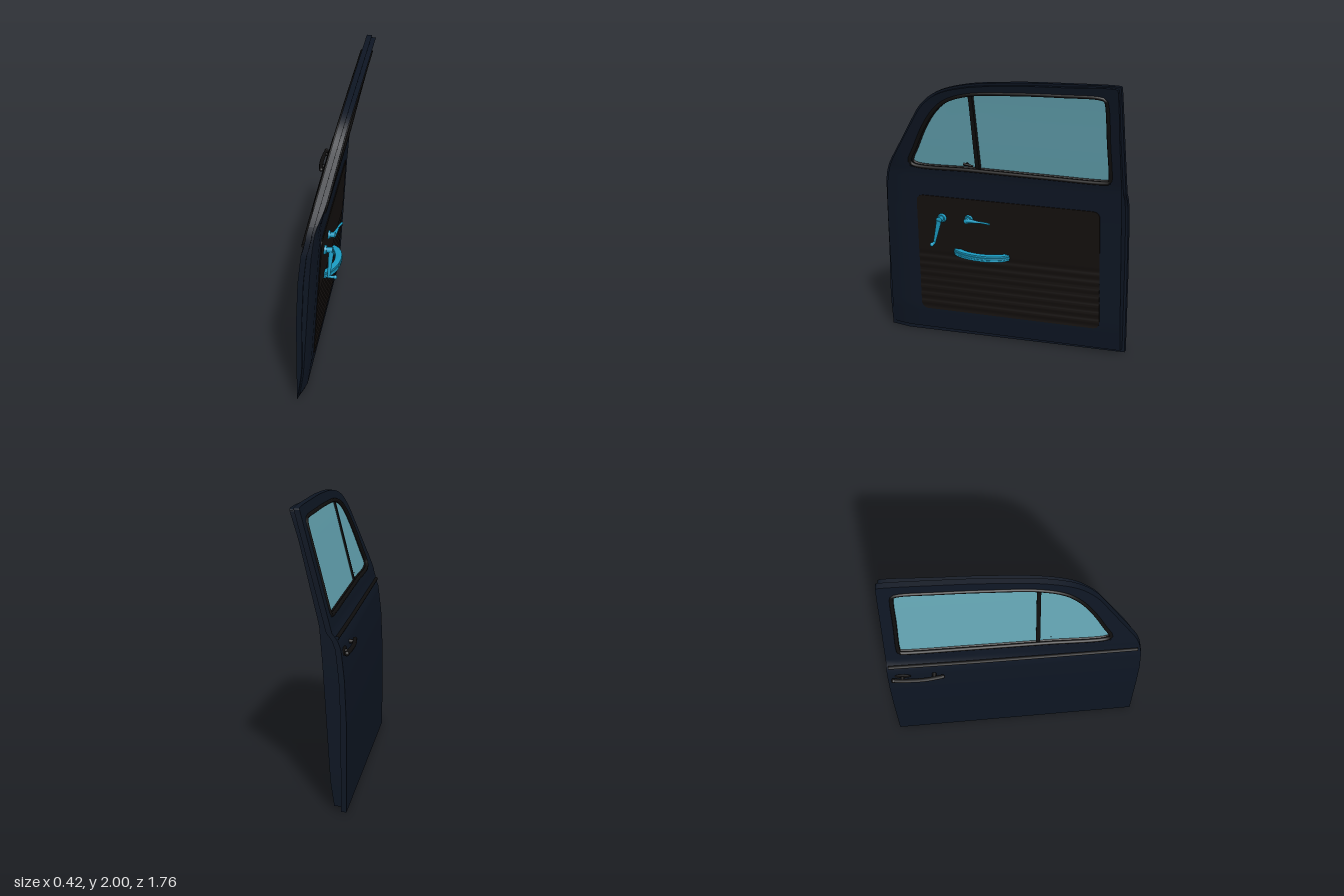
import * as THREE from 'three';
import { toCreasedNormals } from 'three/addons/utils/BufferGeometryUtils.js';

const mat = (color) => new THREE.MeshStandardMaterial({ color, side: THREE.DoubleSide });
const paint = mat(0x0d1522), rubber = mat(0x0e0d0d), card = mat(0x130f0d);
const glassMat = mat(0x62a2b0), blue = mat(0x1a9ac0);
const V = (x, y, z) => new THREE.Vector3(x, y, z);
const { lerp, smoothstep } = THREE.MathUtils;

// Piecewise linear lookup in a list of [key, value] pairs
function table(list) {
  return (t) => {
    let i = 1;
    while (i < list.length - 1 && t > list[i][0]) i++;
    const [a, b] = [list[i - 1], list[i]];
    return lerp(a[1], b[1], THREE.MathUtils.clamp((t - a[0]) / (b[0] - a[0]), 0, 1));
  };
}

// Bent door surfaces: x for a given height y and depth z
const outerY = table([[0, -0.2], [0.6, -0.2], [0.9, -0.187], [1.1, -0.165], [1.17, -0.14], [1.2, -0.108], [1.25, -0.095], [2, 0.1]]);
const outerSlope = table([[0, 0.08], [1.15, 0.08], [1.22, 0.06], [2, 0.06]]);
const innerY = table([[0, -0.03], [0.2, 0], [1, 0.05], [1.25, 0.07], [1.5, 0.13], [1.8, 0.2], [2, 0.26]]);
const xOut = (y, z) => outerY(y) + outerSlope(y) * (z + 0.88);
const xIn = (y, z) => innerY(y) + 0.06 * (z - 0.6) - 0.035 * smoothstep(z, 0.72, 0.89);
const xMid = (y, z) => Math.min(xOut(y, z) + 0.038, xIn(y, z) - 0.01);
const xGlass = (y, z) => lerp(xOut(y, z), xIn(y, z), 0.3);
const shift = (f, d) => (y, z) => f(y, z) + d;

// Slab between two bent surfaces; P(u, v) gives [z, y], u front to back, v upward
function loft(P, nu, nv, xa, xb) {
  const pos = [], idx = [], rim = [];
  for (const side of [xb, xa])
    for (let i = 0; i <= nu; i++)
      for (let j = 0; j <= nv; j++) {
        const [z, y] = P(i / nu, j / nv);
        pos.push(side(y, z), y, z);
      }
  const n = (nu + 1) * (nv + 1), id = (i, j) => i * (nv + 1) + j;
  for (let i = 0; i < nu; i++)
    for (let j = 0; j < nv; j++) {
      const a = id(i, j), b = id(i + 1, j), c = id(i + 1, j + 1), d = id(i, j + 1);
      idx.push(a, b, c, a, c, d, n + a, n + c, n + b, n + a, n + d, n + c);
    }
  for (let i = 0; i < nu; i++) rim.push(id(i, 0));
  for (let j = 0; j < nv; j++) rim.push(id(nu, j));
  for (let i = nu; i > 0; i--) rim.push(id(i, nv));
  for (let j = nv; j > 0; j--) rim.push(id(0, j));
  rim.forEach((p, k) => {
    const q = rim[(k + 1) % rim.length];
    idx.push(n + p, n + q, q, n + p, q, p);
  });
  const g = new THREE.BufferGeometry();
  g.setAttribute('position', new THREE.Float32BufferAttribute(pos, 3));
  g.setIndex(idx);
  return toCreasedNormals(g, 0.6);
}

// Window opening and matching door edge, front to back over the arch, as [z, y]
const windowPts = [[0.65, 1.29], [0.65, 1.33], [0.6, 1.44], [0.52, 1.6], [0.43, 1.73], [0.33, 1.815], [0.16, 1.872],
  [-0.2, 1.903], [-0.5, 1.914], [-0.74, 1.918], [-0.782, 1.905], [-0.79, 1.87], [-0.79, 1.6], [-0.79, 1.29]];
const edgePts = [[0.825, 1.29], [0.8, 1.335], [0.72, 1.465], [0.62, 1.63], [0.53, 1.765], [0.41, 1.865], [0.2, 1.935],
  [-0.18, 1.978], [-0.5, 1.993], [-0.86, 2], [-0.88, 1.995], [-0.882, 1.97], [-0.882, 1.6], [-0.882, 1.29]];
const curve = (pts, closed) => new THREE.CatmullRomCurve3(pts.map(([z, y]) => V(0, y, z)), closed);
const windowCurve = curve(windowPts), edgeCurve = curve(edgePts);
const frontEdge = table([[0, 0.882], [0.9, 0.88], [1.1, 0.872], [1.2, 0.856], [1.25, 0.842], [1.29, 0.825]]);
const windowTop = table(windowPts.slice(1, 11).reverse());

const lowerPatch = (inset, bottom) => (u, v) => {
  const y = lerp(bottom, 1.29, v);
  return [lerp(frontEdge(y) - inset, -0.882 + inset, u), y];
};
const framePatch = (inset) => (u, v) => {
  const a = windowCurve.getPoint(u), b = edgeCurve.getPoint(u);
  const p = a.clone().lerp(b, v * (1 - inset / a.distanceTo(b)));
  return [p.z, p.y];
};

export function createModel() {
  const root = new THREE.Group();
  const add = (name, geo, material, parent = root) => {
    const m = new THREE.Mesh(geo, material);
    m.name = name;
    parent.add(m);
    return m;
  };
  const group = (name) => {
    const g = new THREE.Group();
    g.name = name;
    root.add(g);
    return g;
  };
  const tube = (pts, r, closed = false, n = 64) =>
    new THREE.TubeGeometry(new THREE.CatmullRomCurve3(pts, closed), n, r, 8, closed);
  // Tapered round rod between two points
  const rod = (a, b, r1, r2) => {
    const d = b.clone().sub(a);
    const g = new THREE.CylinderGeometry(r2, r1, d.length(), 16);
    g.applyQuaternion(new THREE.Quaternion().setFromUnitVectors(V(0, 1, 0), d.normalize()));
    const c = a.clone().add(b).multiplyScalar(0.5);
    return g.translate(c.x, c.y, c.z);
  };
  const ball = (p, r, sx = 1, sy = 1, sz = 1) =>
    new THREE.SphereGeometry(r, 20, 12).scale(sx, sy, sz).translate(p.x, p.y, p.z);

  // Door shell: full outer skin with a slightly smaller inner pressing
  add('outerSkin', loft(lowerPatch(0, 0), 24, 48, xOut, xMid), paint);
  add('outerWindowFrame', loft(framePatch(0), 90, 4, xOut, xMid), paint);
  add('innerShell', loft(lowerPatch(0.018, 0.03), 24, 48, xMid, xIn), paint);
  add('innerWindowFrame', loft(framePatch(0.018), 90, 4, xMid, xIn), paint);

  // Glass, divider bar and rubber seals
  add('windowGlass', loft((u, v) => {
    const z = lerp(0.649, -0.788, u);
    return [z, lerp(1.28, windowTop(z), v)];
  }, 70, 8, shift(xGlass, -0.003), shift(xGlass, 0.003)), glassMat);
  add('ventDivider', loft((u, v) => [lerp(0.17, 0.142, u), lerp(1.28, 1.876, v)], 1, 8,
    shift(xGlass, -0.014), shift(xIn, -0.012)), rubber);
  const sealPath = [...windowPts.slice(1, 13), [-0.79, 1.33], [-0.783, 1.302], [-0.755, 1.295], [-0.3, 1.295], [0.2, 1.3], [0.625, 1.305]];
  for (const [name, f] of [['innerWindowSeal', shift(xIn, -0.004)], ['glassSeal', xGlass], ['outerWindowSeal', shift(xOut, 0.003)]])
    add(name, tube(sealPath.map(([z, y]) => V(f(y, z), y, z)), 0.014, true, 140), rubber);
  const belt = [];
  for (let i = 0; i <= 12; i++) {
    const z = lerp(-0.87, 0.845, i / 12), y = 1.175 - 0.015 * i / 12;
    belt.push(V(xOut(y, z) - 0.002, y, z));
  }
  add('beltMoulding', tube(belt, 0.013), rubber);

  // Vent window catch
  const vent = group('ventCatch');
  const vx = xIn(1.33, 0.22);
  add('catchPost', rod(V(vx - 0.05, 1.33, 0.24), V(vx, 1.34, 0.24), 0.012, 0.01), rubber, vent);
  add('catchLever', rod(V(vx, 1.345, 0.25), V(vx, 1.335, 0.18), 0.01, 0.006), rubber, vent);

  // Trim panel with rounded corners and horizontal ribs in the lower half
  add('trimPanel', loft((u, v) => {
    const t = 0.5 - 0.5 * Math.cos(v * Math.PI), y = lerp(0.19, 1.08, lerp(t, v, 0.6));
    const d = Math.max(0, 0.045 - Math.min(y - 0.19, 1.08 - y));
    const r = 0.045 - Math.sqrt(Math.max(0, 0.045 ** 2 - d * d));
    return [lerp(0.615 - r, -0.715 + r, u), y];
  }, 16, 120, shift(xIn, -0.01),
  (y, z) => xIn(y, z) + 0.007 + (y < 0.66 ? 0.0025 * Math.cos((y - 0.66) * 2 * Math.PI / 0.06) - 0.0025 : 0)), card);

  // Window crank
  const crank = group('windowCrank');
  const cx = xIn(0.92, 0.43);
  add('crankBase', rod(V(cx, 0.92, 0.43), V(cx + 0.025, 0.92, 0.43), 0.036, 0.028), blue, crank);
  add('crankHub', rod(V(cx + 0.02, 0.92, 0.43), V(cx + 0.065, 0.92, 0.43), 0.019, 0.022), blue, crank);
  add('crankArm', rod(V(cx + 0.055, 0.915, 0.432), V(cx + 0.045, 0.74, 0.475), 0.019, 0.009), blue, crank);
  add('crankStem', rod(V(cx + 0.035, 0.74, 0.475), V(cx + 0.095, 0.74, 0.475), 0.009, 0.012), blue, crank);
  add('crankKnob', ball(V(cx + 0.09, 0.74, 0.475), 0.014), blue, crank);

  // Inside door release lever
  const lever = group('releaseLever');
  const lx = xIn(0.93, 0.23);
  add('leverBase', rod(V(lx, 0.93, 0.23), V(lx + 0.022, 0.93, 0.23), 0.035, 0.026), blue, lever);
  add('leverHub', rod(V(lx + 0.02, 0.93, 0.23), V(lx + 0.055, 0.93, 0.23), 0.017, 0.02), blue, lever);
  add('leverArm', tube([V(lx + 0.045, 0.932, 0.235), V(lx + 0.055, 0.933, 0.17), V(lx + 0.055, 0.933, 0.11), V(lx + 0.07, 0.935, 0.05)], 0.008, false, 20), blue, lever);
  add('leverRoot', rod(V(lx + 0.046, 0.932, 0.23), V(lx + 0.056, 0.933, 0.13), 0.017, 0.007), blue, lever);

  // Bowed pull handle made of stacked crescents
  const pull = group('pullHandle');
  const zxy = new THREE.Matrix4().makeBasis(V(0, 0, 1), V(1, 0, 0), V(0, 1, 0));
  const crescent = (y, h, grow) => {
    const s = new THREE.Shape();
    s.moveTo(0.345 + grow, 0.008);
    s.bezierCurveTo(0.29, 0.1 + grow, 0.0, 0.128 + grow, -0.065 - grow, 0.0);
    s.lineTo(-0.03 + grow, -0.008);
    s.bezierCurveTo(0.05, 0.062 - grow, 0.22, 0.065 - grow, 0.3 - grow, 0.002);
    s.closePath();
    const g = new THREE.ExtrudeGeometry(s, { depth: h, bevelEnabled: true, bevelSize: 0.003, bevelThickness: 0.003, bevelSegments: 2, curveSegments: 24 });
    return toCreasedNormals(g.applyMatrix4(zxy).translate(0.012, y, 0), 0.6);
  };
  [0.655, 0.67, 0.685].forEach((y, i) => add('pullLayer', crescent(y - 0.004, 0.008, i === 1 ? 0.004 : 0), blue, pull));

  // Outside door handle on two posts
  const handle = group('outsideHandle');
  const hy = 1.07, hx = (z) => xOut(hy, z);
  add('handlePlate', ball(V(hx(-0.78), hy, -0.78), 0.03, 0.35, 1, 2), rubber, handle);
  for (const z of [-0.78, -0.56])
    add('handlePost', rod(V(hx(z) + 0.01, hy, z), V(hx(z) - 0.028, hy, z), 0.016, 0.013), rubber, handle);
  add('handleGrip', tube([V(-0.193, hy, -0.84), V(-0.195, hy, -0.75), V(-0.188, hy, -0.62), V(-0.166, hy, -0.5)], 0.015, false, 24), rubber, handle);
  add('handleEnd', ball(V(-0.193, hy, -0.84), 0.017), rubber, handle);
  add('handleTip', ball(V(-0.166, hy, -0.5), 0.015), rubber, handle);

  return root;
}
